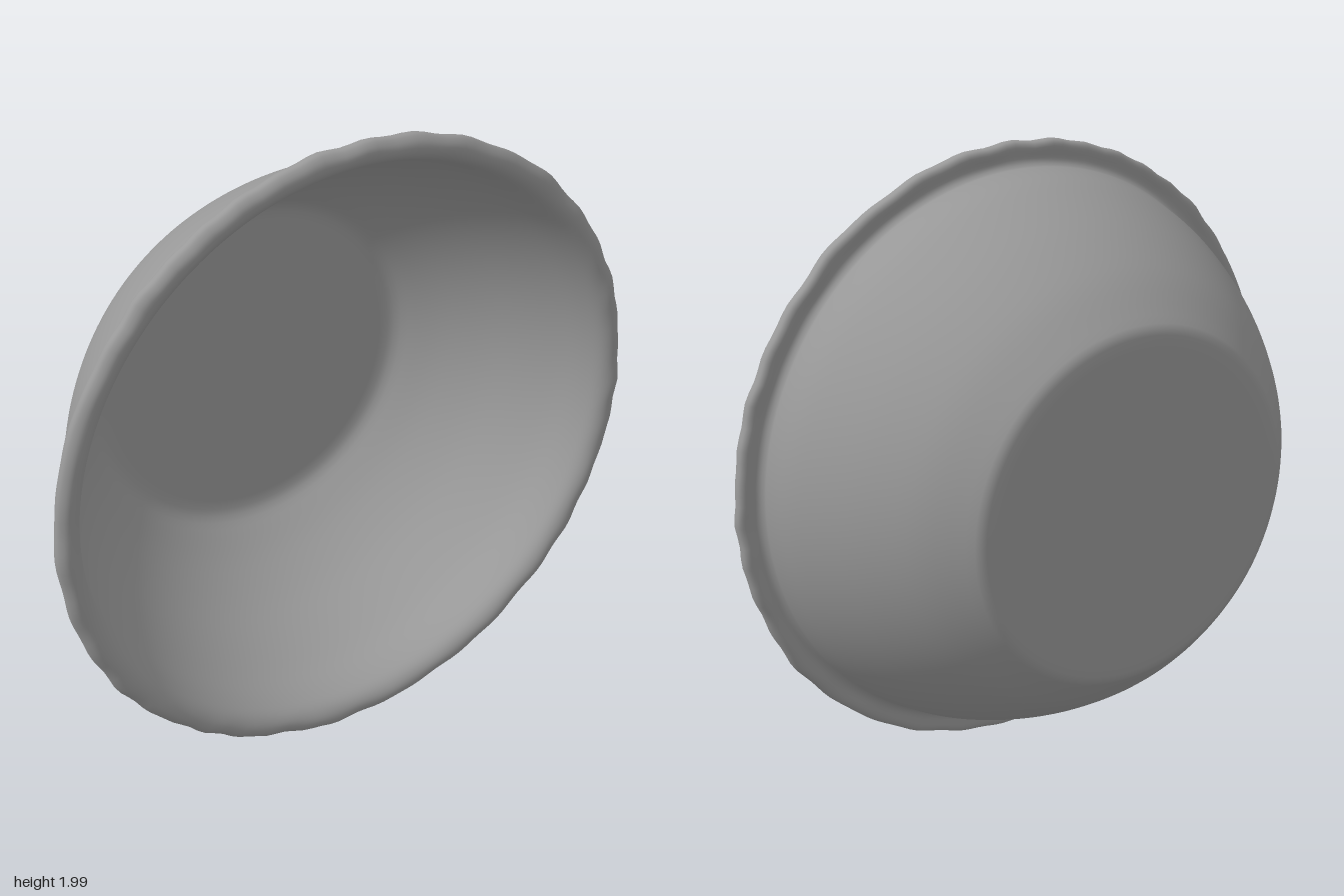
import * as THREE from 'three';
import { mergeVertices } from 'three/addons/utils/BufferGeometryUtils.js';

const material = new THREE.MeshStandardMaterial({ color: 0x999999 });
const vec = (pairs) => pairs.map(([r, h]) => new THREE.Vector2(r, h));
const smooth = (pairs, n) => new THREE.SplineCurve(vec(pairs)).getPoints(n);

// Hand-formed unevenness that grows toward the outer edge of the rim
function wobble(v) {
  const a = Math.atan2(v.z, v.x);
  const k = THREE.MathUtils.smoothstep(Math.hypot(v.x, v.z), 0.915, 0.985);
  const lumps = Math.sin(a * 41 + 3 * Math.sin(a * 3)) + 0.7 * Math.sin(a * 27 + 2 * Math.sin(a * 5 + 1)) + 0.5 * Math.sin(a * 13);
  const s = 1 + k * 0.0025 * lumps;
  v.x *= s;
  v.z *= s;
  v.y += k * (0.0015 * Math.sin(a * 31 + 3 * Math.sin(a * 2)) + 0.0015 * Math.sin(a * 19 + 0.6) + 0.004 * Math.sin(a));
}

export function createModel() {
  // Underside of the base
  const base = vec([[0, -0.34], [0.3, -0.34], [0.5, -0.34], [0.535, -0.339], [0.553, -0.334]]);
  // Outer wall, rim flange and inner wall in one continuous sweep
  const wallAndRim = smooth([
    [0.566, -0.325], [0.678, -0.215], [0.768, -0.09], [0.834, 0.03], [0.884, 0.15], [0.909, 0.25],
    [0.918, 0.275], [0.938, 0.286], [0.972, 0.283], [0.99, 0.293],
    [0.991, 0.316], [0.97, 0.332], [0.942, 0.329], [0.918, 0.306], [0.9, 0.255],
    [0.872, 0.15], [0.82, 0.03], [0.753, -0.09], [0.664, -0.207], [0.57, -0.301],
  ], 76);
  // Inner floor with a soft edge
  const floor = vec([[0.552, -0.314], [0.53, -0.322], [0.5, -0.324], [0.3, -0.324], [0, -0.324]]);

  let geo = new THREE.LatheGeometry([...base, ...wallAndRim, ...floor], 180);
  const pos = geo.attributes.position;
  const v = new THREE.Vector3();
  for (let i = 0; i < pos.count; i++) {
    v.fromBufferAttribute(pos, i);
    wobble(v);
    pos.setXYZ(i, v.x, v.y, v.z);
  }
  // Weld the lathe seam so the shading stays continuous
  geo.deleteAttribute('uv');
  geo.deleteAttribute('normal');
  geo = mergeVertices(geo, 1e-5);
  geo.computeVertexNormals();
  geo.rotateX(Math.PI / 2);

  const bowl = new THREE.Mesh(geo, material);
  bowl.name = 'bowl';
  bowl.position.y = 1;
  const group = new THREE.Group();
  group.add(bowl);
  return group;
}
